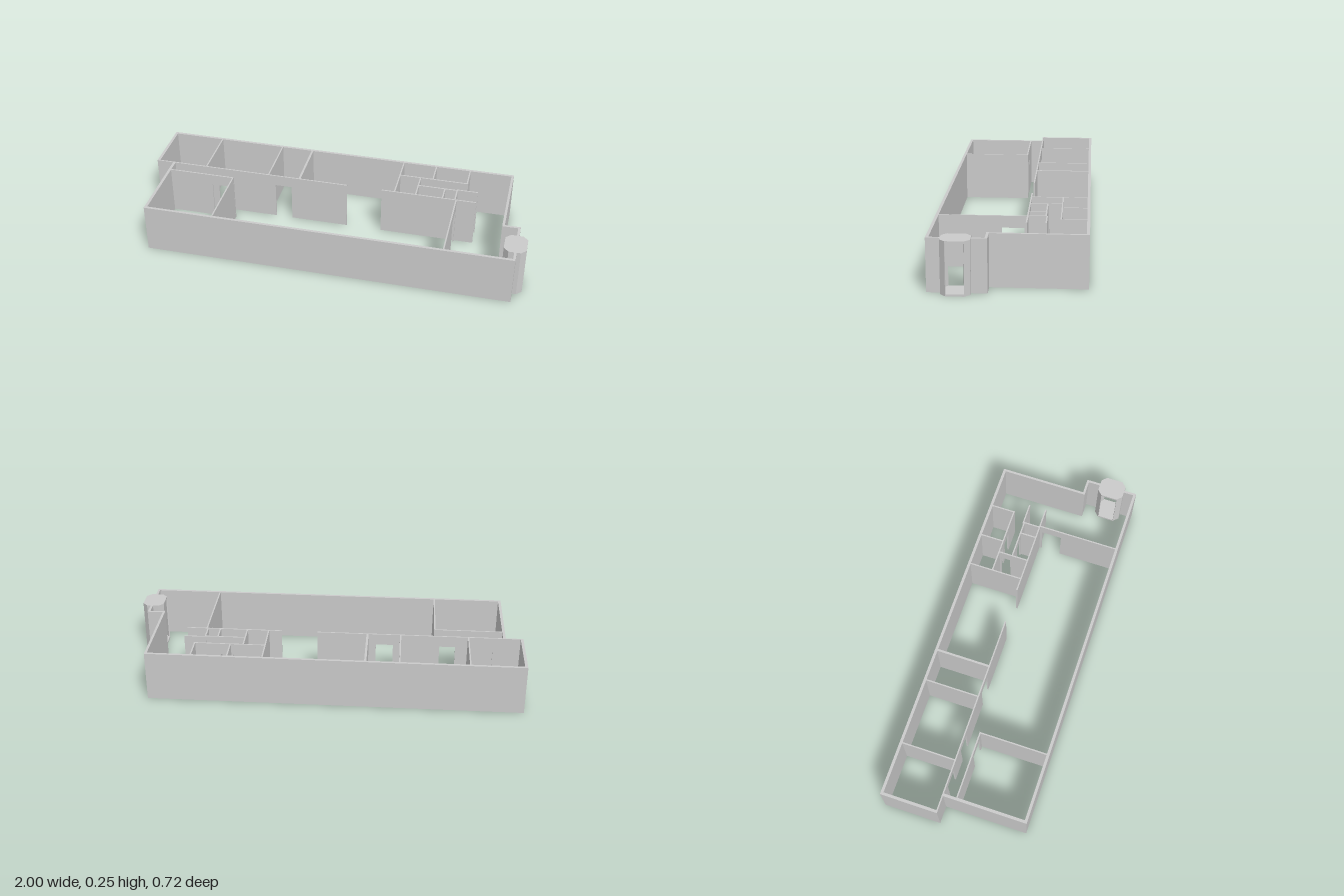
import * as THREE from 'three';

const H = 0.255, DOOR_H = 0.197;
const material = new THREE.MeshStandardMaterial({ color: 0xcccccc, flatShading: true });

function add(group, name, geometry) {
  const mesh = new THREE.Mesh(geometry, material);
  mesh.name = name;
  group.add(mesh);
  return mesh;
}

// Wall outline with doorways notched from the ground; doors are [from, to] along the wall.
function wallGeometry(from, to, thickness, doors) {
  const shape = new THREE.Shape();
  shape.moveTo(from, 0);
  for (const [a, b] of doors) {
    shape.lineTo(a, 0);
    shape.lineTo(a, DOOR_H);
    shape.lineTo(b, DOOR_H);
    shape.lineTo(b, 0);
  }
  shape.lineTo(to, 0);
  shape.lineTo(to, H);
  shape.lineTo(from, H);
  const geometry = new THREE.ExtrudeGeometry(shape, { depth: thickness, bevelEnabled: false });
  return geometry.translate(0, 0, -thickness / 2);
}

// Wall running along x at a given z
function wallX(group, name, z, x0, x1, t, doors = []) {
  add(group, name, wallGeometry(x0, x1, t, doors)).position.z = z;
}

// Wall running along z at a given x
function wallZ(group, name, x, z0, z1, t, doors = []) {
  const flipped = doors.map(([a, b]) => [-b, -a]).reverse();
  const mesh = add(group, name, wallGeometry(-z1, -z0, t, flipped));
  mesh.rotation.y = Math.PI / 2;
  mesh.position.x = x;
}

// Horizontal outline of [x, z] points raised to a prism
function prism(points, y, height) {
  const shape = new THREE.Shape(points.map(([x, z]) => new THREE.Vector2(x, -z)));
  const geometry = new THREE.ExtrudeGeometry(shape, { depth: height, bevelEnabled: false });
  return geometry.rotateX(-Math.PI / 2).translate(0, y, 0);
}

function createEntrance() {
  const tower = new THREE.Group();
  tower.name = 'entranceTower';
  const octagon = [
    [0.055, -0.0425], [0.055, 0.0425], [0.03, 0.0675], [-0.03, 0.0675],
    [-0.055, 0.0425], [-0.055, -0.0425], [-0.03, -0.0675], [0.03, -0.0675],
  ];
  add(tower, 'entranceFloor', prism(octagon, 0, 0.01));
  add(tower, 'entranceRoof', prism(octagon, H - 0.01, 0.01));
  // Three-sided screens either side of the passage
  for (const s of [1, -1]) {
    const screen = [
      [0.055, 0.0425], [0.03, 0.0675], [-0.03, 0.0675], [-0.055, 0.0425],
      [-0.05, 0.0405], [-0.028, 0.0625], [0.028, 0.0625], [0.05, 0.0405],
    ].map(([x, z]) => [x, z * s]);
    add(tower, s > 0 ? 'frontScreen' : 'backScreen', prism(screen, 0.01, H - 0.02));
  }
  tower.position.set(0.945, 0, 0.2275);
  return tower;
}

export function createModel() {
  const model = new THREE.Group();
  model.name = 'floorPlan';

  // Outer shell
  const shell = new THREE.Group();
  shell.name = 'outerWalls';
  const T = 0.014;
  wallX(shell, 'backWall', -0.353, -1, 0.876, T);
  wallX(shell, 'frontWall', 0.353, -0.912, 0.955, T);
  wallZ(shell, 'rearWestWall', -0.993, -0.346, -0.0735, T);
  wallZ(shell, 'frontWestWall', -0.905, -0.0665, 0.346, T);
  wallZ(shell, 'rearEastWall', 0.87, -0.346, 0.087, 0.012);
  wallX(shell, 'eastStepWall', 0.093, 0.864, 0.955, 0.012);
  wallZ(shell, 'eastWallBehindEntrance', 0.949, 0.099, 0.16, 0.012);
  wallZ(shell, 'eastWallBeforeEntrance', 0.949, 0.295, 0.346, 0.012);
  model.add(shell);

  // Room partitions
  const rooms = new THREE.Group();
  rooms.name = 'partitions';
  const P = 0.007;
  wallX(rooms, 'longPartition', -0.07, -1, 0.042, P,
    [[-0.85, -0.765], [-0.66, -0.58], [-0.344, -0.257]]);
  for (const [x, t] of [[-0.725, P], [-0.382, P], [-0.214, 0.011]]) {
    wallZ(rooms, 'rearRoomDivider', x, -0.346, -0.0735, t);
  }
  wallX(rooms, 'cornerRoomBackWall', 0, -0.898, -0.552, P, [[-0.67, -0.58]]);
  wallZ(rooms, 'cornerRoomSideWall', -0.556, 0.0035, 0.346, P);
  wallZ(rooms, 'eastRoomDivider', 0.611, -0.0665, 0.346, P, [[-0.055, 0.05]]);

  // Cluster of small rooms
  wallX(rooms, 'clusterFrontWall', -0.07, 0.225, 0.712, P);
  wallZ(rooms, 'clusterWestWall', 0.292, -0.346, -0.0735, P);
  wallX(rooms, 'clusterMiddleWall', -0.227, 0.2955, 0.652, P, [[0.405, 0.455], [0.48, 0.54]]);
  for (const x of [0.467, 0.647]) wallZ(rooms, 'clusterRearDivider', x, -0.346, -0.2305, P);
  wallZ(rooms, 'clusterInnerWall', 0.402, -0.2235, -0.0735, P, [[-0.215, -0.165]]);
  wallX(rooms, 'corridorWall', -0.155, 0.4055, 0.6015, P, [[0.47, 0.53]]);
  wallZ(rooms, 'closetWall', 0.541, -0.1515, -0.0735, P);
  wallZ(rooms, 'closetEndWall', 0.605, -0.157, -0.0735, P);
  wallX(rooms, 'corridorEndWall', -0.16, 0.6015, 0.712, P);
  model.add(rooms);

  model.add(createEntrance());
  return model;
}
